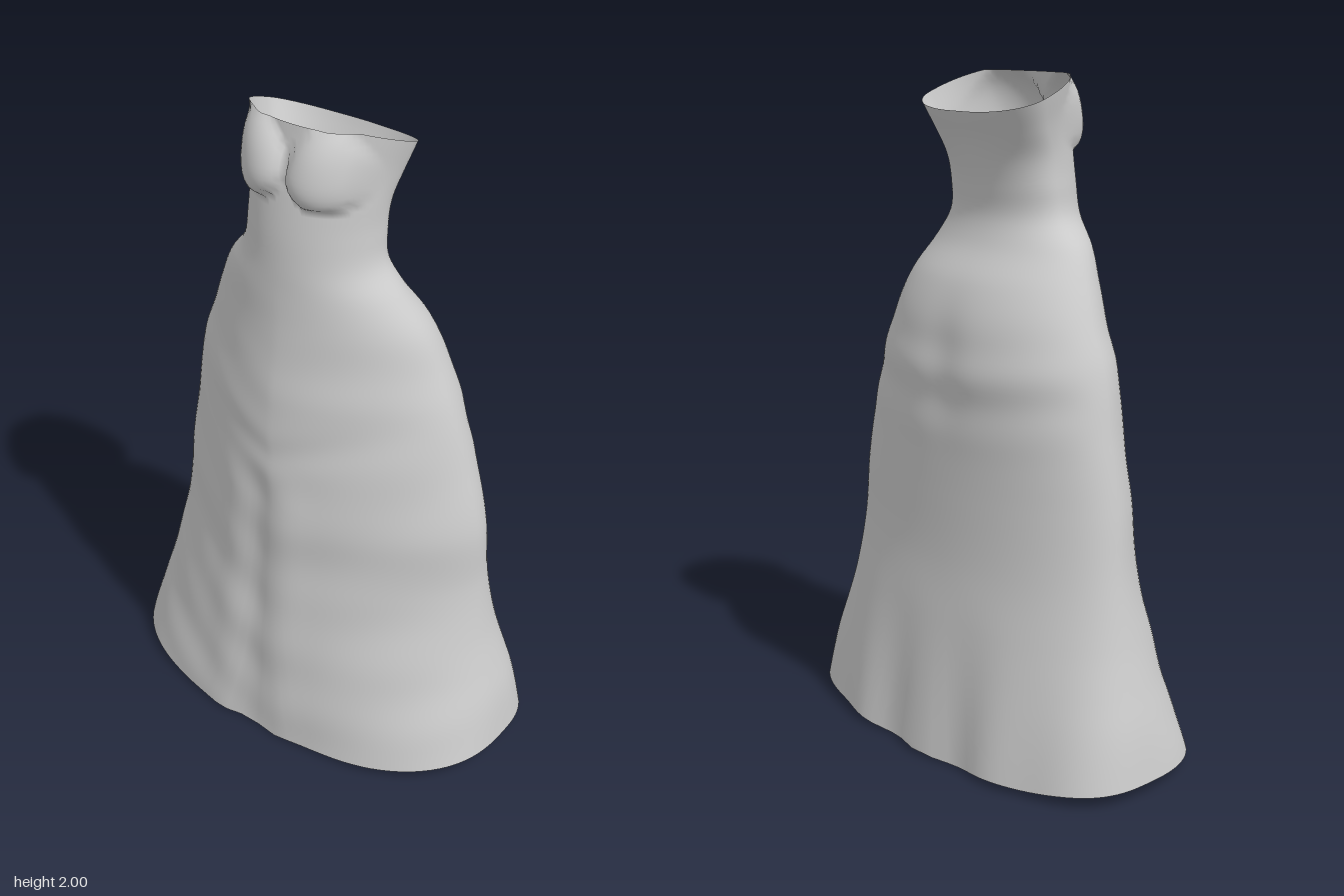
import * as THREE from 'three';

// Body sections: height -> [right x, left x, front z, back z, z of widest point, front squareness, back squareness]
const SECTIONS = [
  [0.00, -0.670, 0.668, 0.368, -0.355, -0.05, 2.60, 2.75],
  [0.20, -0.637, 0.640, 0.350, -0.328, -0.05, 2.15, 2.50],
  [0.42, -0.582, 0.582, 0.328, -0.298, -0.04, 1.85, 2.25],
  [0.60, -0.547, 0.553, 0.310, -0.274, -0.04, 1.70, 2.10],
  [0.80, -0.521, 0.542, 0.299, -0.264, -0.03, 1.65, 2.05],
  [1.00, -0.487, 0.492, 0.285, -0.262, -0.03, 1.62, 2.05],
  [1.20, -0.447, 0.430, 0.260, -0.260, -0.02, 1.65, 2.05],
  [1.30, -0.408, 0.390, 0.242, -0.240, -0.02, 1.68, 2.05],
  [1.42, -0.355, 0.338, 0.224, -0.195, 0.00, 1.75, 2.05],
  [1.52, -0.300, 0.270, 0.214, -0.130, 0.02, 1.85, 2.05],
  [1.60, -0.237, 0.215, 0.207, -0.102, 0.02, 1.95, 2.05],
  [1.70, -0.222, 0.201, 0.196, -0.106, 0.01, 2.00, 2.05],
  [1.80, -0.220, 0.203, 0.178, -0.122, 0.00, 2.05, 2.10],
  [1.90, -0.235, 0.215, 0.155, -0.146, -0.04, 2.15, 2.20],
  [2.00, -0.260, 0.235, 0.135, -0.182, -0.07, 2.25, 2.30],
];
const sampler = new THREE.CubicInterpolant(
  SECTIONS.map(s => s[0]), SECTIONS.flatMap(s => s.slice(1)), 7, new Array(7));

const { smoothstep, clamp } = THREE.MathUtils;
const bell = (d, w) => Math.exp(-(d * d) / (w * w));
const power = (v, p) => Math.sign(v) * Math.pow(Math.abs(v), p);

// Soft cloth relief, positive outwards
function folds(x, y, front) {
  if (front) {
    const below = 1 - smoothstep(y, 0.85, 1.0);
    const groove = -0.012 * bell(x + 0.04, 0.05) * below;
    const ridges = 0.007 * (bell(x - 0.07, 0.06) + bell(x + 0.15, 0.06)) * below;
    const swag = -0.008 * bell(y - 1.02 - 0.3 * Math.abs(x), 0.05) * bell(x, 0.25);
    const drape = 0.003 * Math.sin(23 * y - 9 * Math.abs(x)) * Math.sin(7 * x + 5 * y)
      * (1 - smoothstep(y, 1.2, 1.45));
    return groove + ridges + swag + drape;
  }
  const pleats = 0.017 * Math.cos(21 * (x + 0.02)) * (1 - smoothstep(y, -0.1, 0.55)) * bell(x, 0.45);
  const swag = 0.004 * Math.sin(34 * (y - 0.25 * x * x)) * bell(y - 1.15, 0.15);
  const dip = -0.014 * bell(x + 0.01, 0.08) * bell(y - 1.18, 0.16);
  return pleats + swag + dip;
}

// Rounded cup with a firm lower edge, fading out at the neckline
function bust(x, y) {
  const dx = (Math.abs(x + 0.012) - 0.115) / 0.11;
  const dy = (y - 1.875) / (y > 1.875 ? 0.13 : 0.09);
  const round = Math.max(0, 1 - dx * dx - dy * dy);
  return 0.055 * Math.pow(round, y > 1.875 ? 0.5 + 2.5 * (y - 1.875) : 0.5);
}

function surfacePoint(angle, level) {
  const [xr, xl, zf, zb, zc, nf, nb] = sampler.evaluate(level);
  const s = Math.sin(angle), c = Math.cos(angle);
  const front = c >= 0;
  const n = front ? nf : nb;
  const x = (xl + xr) / 2 + (xl - xr) / 2 * power(s, 2 / n);
  const depth = Math.pow(Math.abs(c), 2 / n);
  const base = zc + (front ? zf - zc : zb - zc) * depth;

  // Relief fades toward the sides so front and back join smoothly
  let z = base + (front ? 1 : -1) * folds(x, level, front) * smoothstep(depth, 0, 0.6);
  if (front) z += bust(x, level) * smoothstep(depth, 0.2, 0.7);

  // The neckline slopes down toward the back, the hem lifts at the sides
  const drop = 0.1 * clamp((0.08 - base) / 0.26, 0, 1) * smoothstep(level, 1.55, 2.0);
  const ripple = front ? 0 : 0.005 * (1 + Math.cos(21 * x)) * c * c;
  const lift = (0.04 * Math.pow(Math.abs(s), 1.4) + ripple) * (1 - smoothstep(level, 0, 0.3));
  return [x, level - drop + lift, z];
}

// Open tube of rings joined around without a seam
function loft(rows, cols) {
  const positions = [], indices = [];
  for (let i = 0; i <= rows; i++) {
    for (let j = 0; j < cols; j++) {
      positions.push(...surfacePoint(j / cols * Math.PI * 2, 2 * i / rows));
      if (i === rows) continue;
      const a = i * cols + j, b = i * cols + (j + 1) % cols;
      indices.push(a, b, a + cols, b, b + cols, a + cols);
    }
  }
  const geometry = new THREE.BufferGeometry();
  geometry.setAttribute('position', new THREE.Float32BufferAttribute(positions, 3));
  geometry.setIndex(indices);
  geometry.computeVertexNormals();
  return geometry;
}

export function createModel() {
  const group = new THREE.Group();
  group.name = 'straplessGown';
  const cloth = new THREE.MeshStandardMaterial({ color: 0xcccccc, side: THREE.DoubleSide });
  const gown = new THREE.Mesh(loft(120, 112), cloth);
  gown.name = 'gown';
  group.add(gown);
  return group;
}
